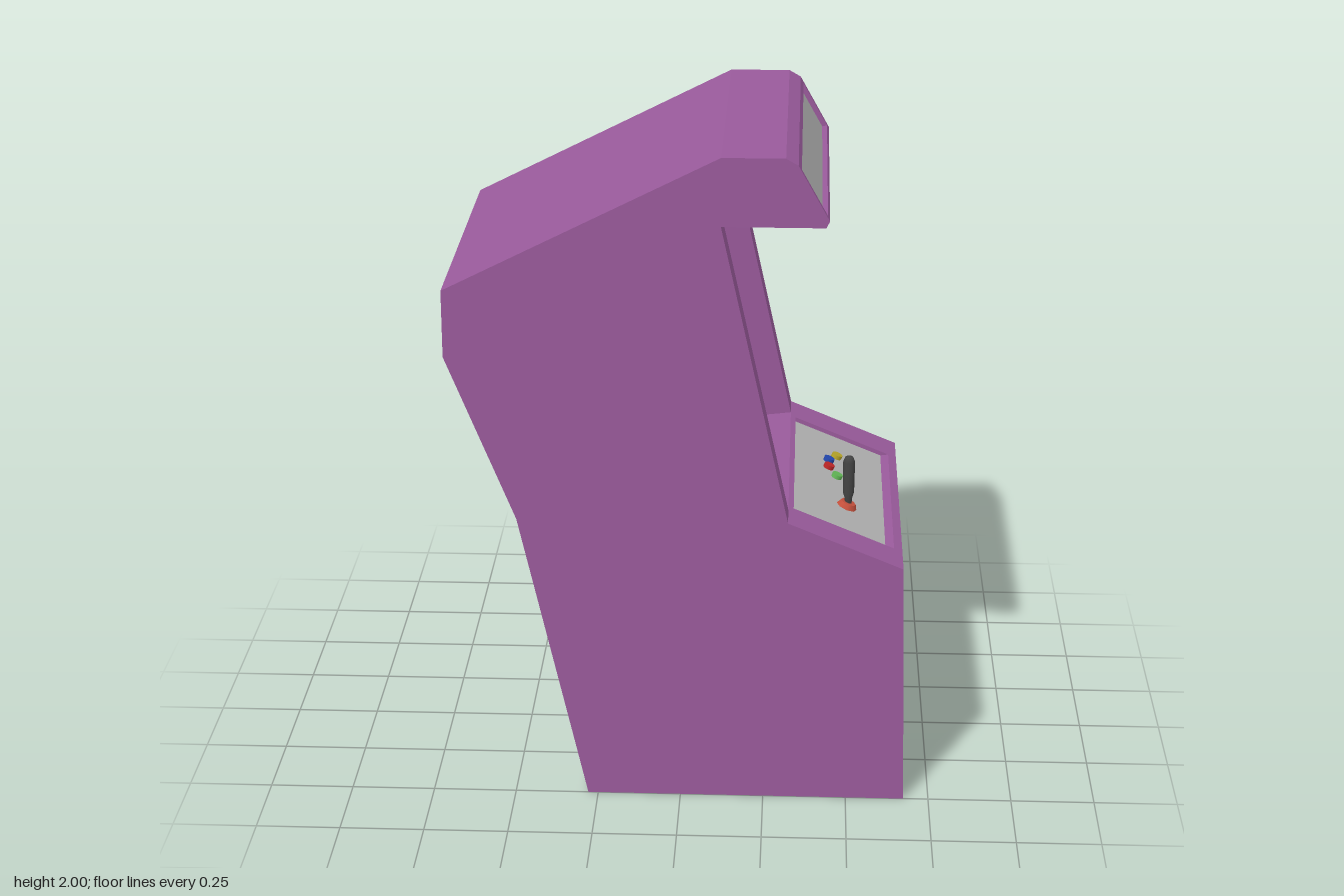
import * as THREE from 'three';

const mat = (color) => new THREE.MeshStandardMaterial({ color });
const purple = mat(0x995a9b), grey = mat(0xb0b0b0), dark = mat(0x444444), glass = mat(0x5cc3d2);
purple.side = THREE.DoubleSide;

// Cabinet outline seen from the side, counter-clockwise
const outline = [
  [-0.28, 0], [0.675, 0], [0.655, 0.76], [0.315, 0.9], [0.115, 1.8], [0.41, 1.8], [0.42, 1.82],
  [0.33, 1.98], [0.295, 2], [0.115, 2], [-0.68, 1.6], [-0.68, 1.4], [-0.48, 0.9],
].map(([x, y]) => new THREE.Vector2(x, y));
const edgeNames = ['bottom', 'lowerFront', 'controlDeck', 'screenSurround', 'canopyUnderside', 'canopyLip',
  'marqueeSurround', 'canopyEdge', 'canopyTop', 'roof', 'upperBack', 'middleBack', 'lowerBack'];

function add(parent, name, geometry, material, x = 0, y = 0, z = 0) {
  const mesh = new THREE.Mesh(geometry, material);
  mesh.name = name;
  mesh.position.set(x, y, z);
  parent.add(mesh);
  return mesh;
}

// Rectangle as four corners at one depth: across (x), along (y), out (z)
const ring = (x0, x1, y0, y1, z) => [[x0, y0, z], [x1, y0, z], [x1, y1, z], [x0, y1, z]];

function quads(list) {
  const g = new THREE.BufferGeometry();
  const p = list.flatMap(([a, b, c, d]) => [a, b, c, a, c, d].flat());
  g.setAttribute('position', new THREE.Float32BufferAttribute(p, 3));
  g.computeVertexNormals();
  return g;
}

// Four walls joining each rectangle to the next
function walls(...rings) {
  const list = [];
  for (let r = 0; r + 1 < rings.length; r++) {
    for (let i = 0; i < 4; i++) {
      const j = (i + 1) % 4;
      list.push([rings[r][i], rings[r][j], rings[r + 1][j], rings[r + 1][i]]);
    }
  }
  return list;
}

function rectPath(path, [a, b, c, d]) {
  path.setFromPoints([a, b, c, d].map(([x, y]) => new THREE.Vector2(x, y)));
  return path;
}

// Flat panel with rectangular openings
function panel(outer, openings = []) {
  const shape = rectPath(new THREE.Shape(), outer);
  openings.forEach((o) => shape.holes.push(rectPath(new THREE.Path(), [...o].reverse())));
  return new THREE.ShapeGeometry(shape);
}

// Group lying on one outline edge: x across, y along the edge, z outwards
function edgeFrame(i) {
  const a = outline[i], b = outline[(i + 1) % outline.length];
  const d = b.clone().sub(a), length = d.length();
  d.normalize();
  const frame = new THREE.Group();
  frame.name = edgeNames[i];
  const m = new THREE.Matrix4().makeBasis(
    new THREE.Vector3(0, 0, -1), new THREE.Vector3(d.x, d.y, 0), new THREE.Vector3(d.y, -d.x, 0));
  frame.quaternion.setFromRotationMatrix(m);
  frame.position.set(a.x, a.y, 0);
  return { frame, length };
}

export function createModel() {
  const model = new THREE.Group();
  model.name = 'arcadeCabinet';

  // Side panels
  const side = new THREE.ShapeGeometry(new THREE.Shape(outline));
  add(model, 'leftSide', side, purple, 0, 0, 0.5);
  add(model, 'rightSide', side, purple, 0, 0, -0.5);

  // Openings cut into the shell, per outline edge
  const coinOpen = ring(-0.305, -0.1, 0.475, 0.67, 0);
  const slotOpen = ring(0.155, 0.24, 0.475, 0.67, 0);
  const deckOpen = ring(-0.372, 0.372, 0.027, 0.351, 0);
  const marqueeOpen = ring(-0.48, 0.48, 0.012, 0.165, 0);
  const openings = { lowerFront: [coinOpen, slotOpen], controlDeck: [deckOpen], marqueeSurround: [marqueeOpen] };

  // Shell panels around the outline
  const frames = {};
  edgeNames.forEach((name, i) => {
    const { frame, length } = edgeFrame(i);
    frames[name] = frame;
    model.add(frame);
    if (name === 'screenSurround') {
      for (const s of [-1, 1]) {
        add(frame, 'screenPillar', panel(ring(s * 0.45 - 0.05, s * 0.45 + 0.05, 0, length, 0)), purple);
      }
    } else {
      add(frame, name + 'Panel', panel(ring(-0.5, 0.5, 0, length, 0), openings[name]), purple);
    }
  });

  // Screen recess and bulging glass
  const screen = frames.screenSurround;
  const screenBack = ring(-0.36, 0.36, 0.037, 0.867, -0.212);
  add(screen, 'screenRecess', quads(walls(ring(-0.4, 0.4, 0, 0.922, 0), screenBack)), purple);
  const glassTop = ring(-0.305, 0.305, 0.093, 0.811, -0.187);
  add(screen, 'screenGlass', quads([
    ...walls(screenBack, ring(-0.335, 0.335, 0.062, 0.842, -0.195), glassTop), glassTop]), glass);

  // Marquee
  const marqueeBack = ring(-0.48, 0.48, 0.016, 0.165, -0.015);
  add(frames.marqueeSurround, 'marqueeRim', quads(walls(marqueeOpen, marqueeBack)), purple);
  add(frames.marqueeSurround, 'marqueeSign', quads([marqueeBack]), grey);

  // Control panel
  const deck = frames.controlDeck;
  const deckFloor = ring(-0.372, 0.372, 0.049, 0.351, -0.013);
  add(deck, 'controlPanelRim', quads(walls(deckOpen, deckFloor)), purple);
  add(deck, 'controlPanel', quads([deckFloor]), grey);

  // Buttons: x, z, colour
  const buttonGeo = new THREE.CylinderGeometry(0.017, 0.017, 0.014, 10).rotateX(Math.PI / 2);
  for (const [x, z, color] of [
    [0.465, -0.2, 0xb8a628], [0.44, -0.145, 0x2348b0], [0.44, -0.09, 0xc02626], [0.465, -0.037, 0x62b856]]) {
    add(deck, 'button', buttonGeo, mat(color), -z, (0.655 - x) / 0.925, -0.007);
  }

  // Joystick
  const base = new THREE.CylinderGeometry(0.024, 0.033, 0.016, 8).rotateX(Math.PI / 2);
  add(deck, 'joystickBase', base, mat(0xc4503c), -0.16, 0.173, -0.006);
  const stick = [[0, 0], [0.01, 0], [0.011, 0.03], [0.017, 0.05], [0.018, 0.15], [0.012, 0.165], [0, 0.168]]
    .map(([r, y]) => new THREE.Vector2(r, y));
  add(model, 'joystick', new THREE.LatheGeometry(stick, 12), dark, 0.495, 0.81, 0.16);

  // Coin return and coin slot, sunk into the lower front
  const front = frames.lowerFront;
  const sunk = (name, open, depth, inset) => {
    const [[x0, y0], , [x1, y1]] = open;
    const back = ring(x0 + inset, x1 - inset, y0 + inset, y1 - inset, -depth);
    add(front, name + 'Recess', quads(walls(open, back)), purple);
    add(front, name + 'Plate', quads([back]), grey);
  };
  sunk('coinReturn', coinOpen, 0.07, 0.01);
  add(front, 'coinReturnFlap', new THREE.BoxGeometry(0.13, 0.026, 0.02), dark, -0.2, 0.572, -0.066);
  sunk('coinSlot', slotOpen, 0.035, 0.008);
  add(front, 'coinSlotFrame', new THREE.BoxGeometry(0.022, 0.135, 0.012), dark, 0.198, 0.572, -0.033);
  add(front, 'coinSlotInsert', new THREE.BoxGeometry(0.012, 0.122, 0.014), grey, 0.198, 0.572, -0.033);

  return model;
}
